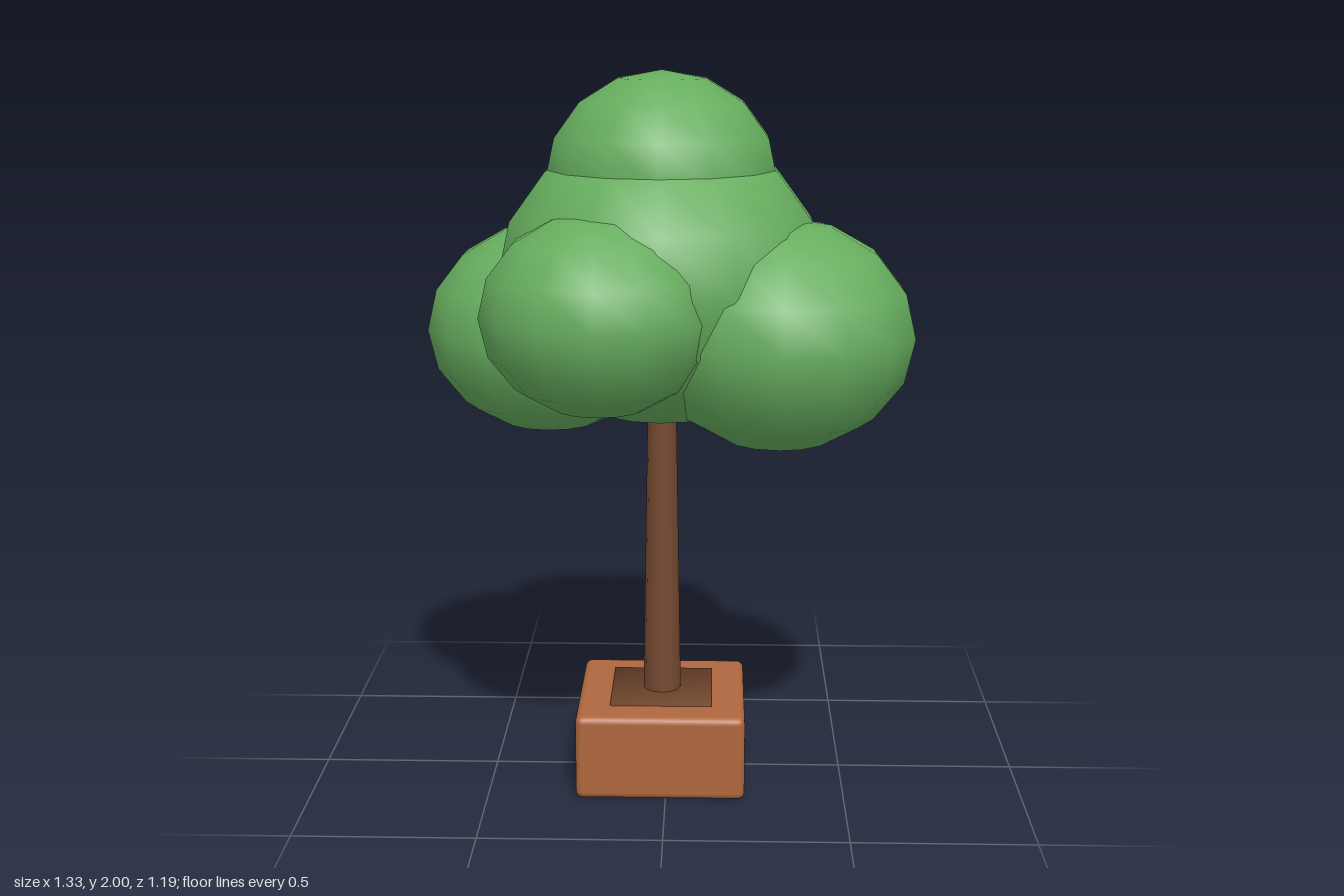
import * as THREE from 'three';
import { RoundedBoxGeometry } from 'three/addons/geometries/RoundedBoxGeometry.js';

const mat = (name, color) => {
  const m = new THREE.MeshStandardMaterial({ color });
  m.name = name;
  return m;
};

export function createModel() {
  const leaf = mat('leaf green', 0x66ad5e);
  const bark = mat('bark brown', 0x74482f);
  const clay = mat('terracotta', 0xae673e);

  const tree = new THREE.Group();
  tree.name = 'pottedTree';
  const cx = -0.015, cz = 0.015; // axis of pot and trunk

  const add = (name, geometry, material, x, y, z) => {
    const mesh = new THREE.Mesh(geometry, material);
    mesh.name = name;
    mesh.position.set(x, y, z);
    tree.add(mesh);
    return mesh;
  };

  // Square pot with softened edges
  add('pot', new RoundedBoxGeometry(0.473, 0.243, 0.473, 3, 0.02), clay, cx, 0.1215, cz);

  // Thin soil slab, shaded softly across its corners
  const soil = new THREE.BoxGeometry(0.286, 0.05, 0.286);
  const p = soil.attributes.position, v = new THREE.Vector3();
  for (let i = 0; i < p.count; i++) {
    v.set(Math.sign(p.getX(i)), Math.sign(p.getY(i)), Math.sign(p.getZ(i))).normalize();
    soil.attributes.normal.setXYZ(i, v.x, v.y, v.z);
  }
  add('soil', soil, bark, cx, 0.224, cz);

  // Tapered trunk, reaching into the crown
  add('trunk', new THREE.CylinderGeometry(0.038, 0.054, 0.98, 12), bark, cx, 0.71, cz);

  // Crown of flattened balls: name, x, y, z, radius, height ratio
  const ball = new THREE.SphereGeometry(1, 14, 8).rotateY(Math.PI / 2);
  const crown = [
    ['crownCentre', cx, 1.447, cz, 0.4525, 0.9],
    ['crownTop', cx, 1.715, cz, 0.318, 0.9],
    ['crownLeft', 0.304, 1.305, 0.117, 0.37, 0.85],
    ['crownRight', -0.332, 1.285, -0.095, 0.346, 0.85],
    ['crownBack', 0.093, 1.357, -0.28, 0.318, 0.85],
    ['crownFront', -0.172, 1.383, 0.275, 0.318, 0.85],
  ];
  for (const [name, x, y, z, r, k] of crown) {
    add(name, ball, leaf, x, y, z).scale.set(r, r * k, r);
  }
  return tree;
}
